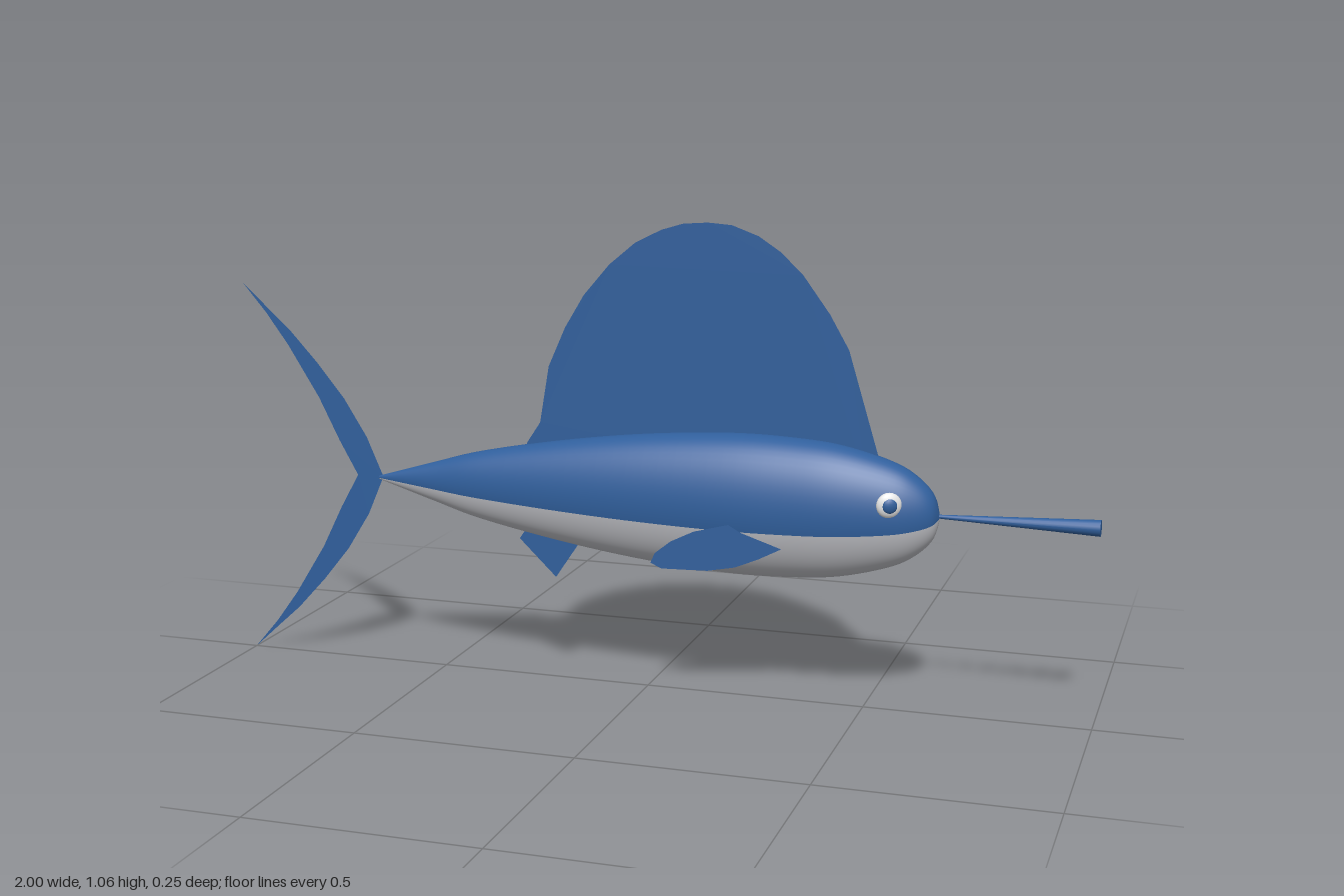
import * as THREE from 'three';

const AXIS_Y = 0.445;

export function createModel() {
  const model = new THREE.Group();
  const material = (name, color, side = THREE.FrontSide) => {
    const m = new THREE.MeshStandardMaterial({ color, side });
    m.name = name;
    return m;
  };
  const blue = material('ocean blue', 0x305f9c, THREE.DoubleSide);
  const grey = material('belly grey', 0xbcbdc2, THREE.DoubleSide);
  const white = material('eye white', 0xe6e6e6);

  const add = (name, geometry, mat, x = 0, y = 0, z = 0) => {
    const mesh = new THREE.Mesh(geometry, mat);
    mesh.name = name;
    mesh.position.set(x, y, z);
    model.add(mesh);
    return mesh;
  };
  const flatFin = (points) =>
    new THREE.ShapeGeometry(new THREE.Shape(points.map(([x, y]) => new THREE.Vector2(x, y))));

  // Body: one smooth profile turned along x, narrowed sideways, split into back and belly
  const profile = new THREE.SplineCurve([
    [0.004, -0.66], [0.046, -0.52], [0.08, -0.4], [0.118, -0.2], [0.145, 0],
    [0.159, 0.2], [0.156, 0.35], [0.145, 0.45], [0.118, 0.55], [0.09, 0.605],
    [0.05, 0.645], [0, 0.66],
  ].map(([r, x]) => new THREE.Vector2(r, x))).getPoints(60);
  profile.forEach((p) => { p.x = Math.max(p.x, 0); });
  const bodyPart = (start, length) =>
    new THREE.LatheGeometry(profile, 32, start, length).rotateZ(-Math.PI / 2).scale(1, 1, 0.59);
  const split = 0.27;
  add('back', bodyPart(Math.PI - split, Math.PI + 2 * split), blue, 0, AXIS_Y);
  add('belly', bodyPart(split, Math.PI - 2 * split), grey, 0, AXIS_Y);

  // Bill, widening towards its tip
  add('bill', new THREE.CylinderGeometry(0.018, 0.004, 0.35, 16).rotateZ(-Math.PI / 2), blue, 0.825, 0.448);

  // Tall sail on the back
  add('sail', flatFin([
    [-0.29, 0.5], [-0.29, 0.55], [-0.257, 0.6], [-0.235, 0.73], [-0.195, 0.82],
    [-0.15, 0.895], [-0.09, 0.965], [-0.03, 1.015], [0.03, 1.045], [0.08, 1.06],
    [0.136, 1.064], [0.19, 1.06], [0.25, 1.038], [0.3, 1.005], [0.35, 0.957],
    [0.41, 0.875], [0.453, 0.8], [0.53, 0.545], [0.5, 0.5],
  ]), blue);

  // Crescent tail: leading edge out to the tip, trailing edge back, mirrored
  const lobe = [
    [-0.65, 0], [-0.69, 0.092], [-0.745, 0.18], [-0.81, 0.26], [-0.88, 0.336], [-0.94, 0.39],
    [-1, 0.445], [-0.94, 0.375], [-0.885, 0.3], [-0.81, 0.18], [-0.76, 0.08], [-0.715, 0],
  ];
  for (const s of [1, -1]) {
    add(s > 0 ? 'upperTailLobe' : 'lowerTailLobe', flatFin(lobe.map(([x, y]) => [x, s * y])), blue, 0, 0.447);
  }

  // Small fin under the belly
  add('bellyFin', flatFin([[-0.28, 0.37], [-0.31, 0.325], [-0.222, 0.24], [-0.165, 0.325], [-0.17, 0.36]]), blue);

  for (const s of [1, -1]) {
    const side = s > 0 ? 'Left' : 'Right';

    // Side fin, swept outward to the rear
    const fin = flatFin([
      [0.33, 0.37], [0.28, 0.345], [0.23, 0.325], [0.17, 0.315], [0.07, 0.316], [0.046, 0.328],
      [0.055, 0.35], [0.09, 0.378], [0.14, 0.402], [0.215, 0.42], [0.24, 0.404],
    ]);
    const p = fin.attributes.position;
    for (let i = 0; i < p.count; i++) p.setZ(i, s * (0.134 - 0.15 * p.getX(i)));
    fin.computeVertexNormals();
    add('sideFin' + side, fin, blue);

    // Eye with a pupil
    const turn = s * 0.4;
    const eye = add('eye' + side, new THREE.SphereGeometry(0.028, 20, 12).scale(1, 1, 0.45), white, 0.56, 0.48, s * 0.064);
    const pupil = add('pupil' + side, new THREE.SphereGeometry(0.017, 16, 10).scale(1, 1, 0.45), blue, 0.563, 0.48, s * 0.071);
    eye.rotation.y = pupil.rotation.y = turn;
  }
  return model;
}
